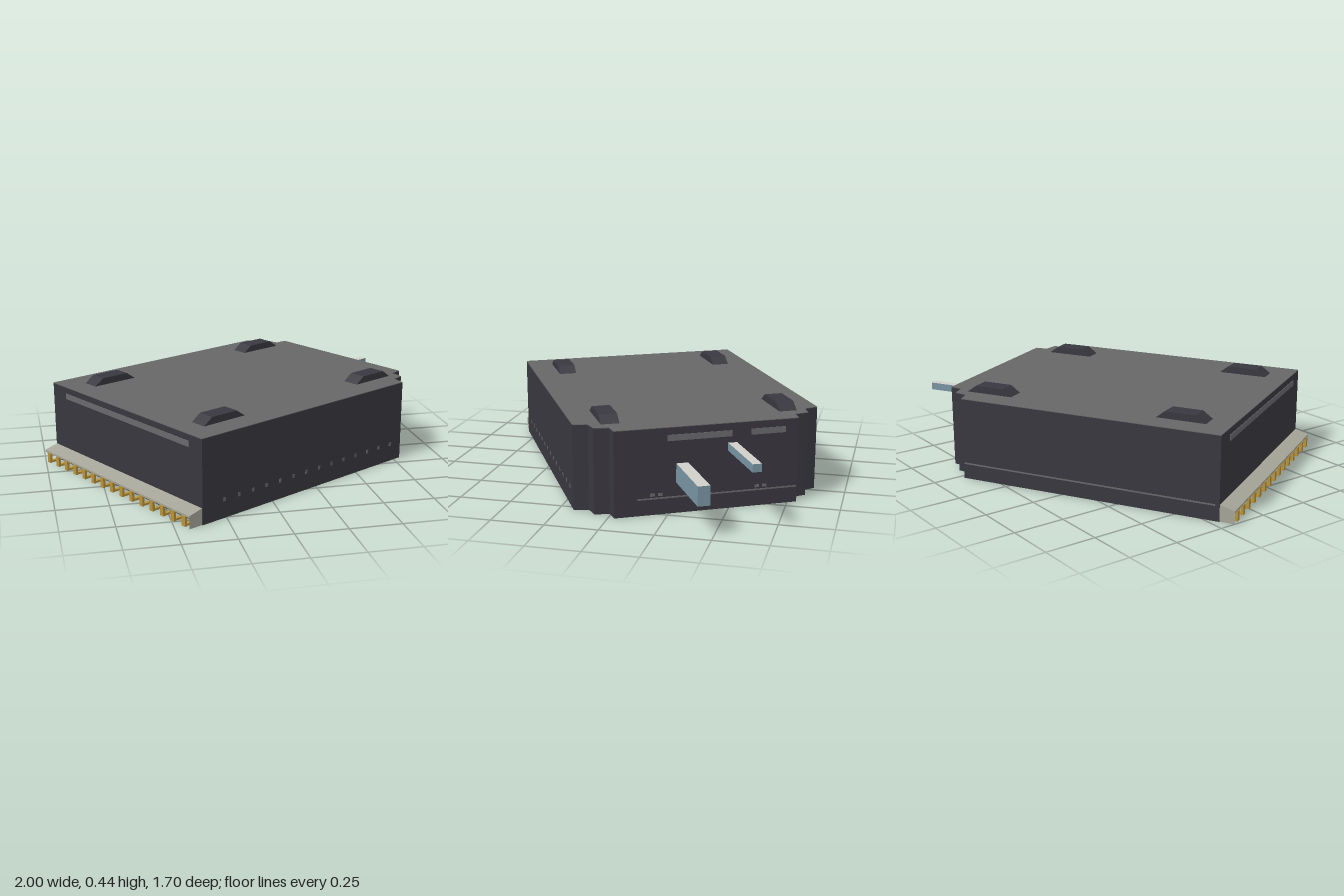
import * as THREE from 'three';

const mat = (name, color, extra = {}) => Object.assign(new THREE.MeshStandardMaterial({ color, ...extra }), { name });

export function createModel() {
  const dark = mat('charcoal casing', 0x39373f);
  const grey = mat('grey lid', 0x666667);
  const label = mat('label grey', 0x69696c);
  const beige = mat('beige ledge', 0xa6a598);
  const gold = mat('gold pins', 0xb8923a);
  const blue = mat('steel blue', 0x7894a2);
  const cream = mat('pale metal', 0xcfcec9);

  const model = new THREE.Group();
  model.name = 'module';
  const unit = new THREE.Group();
  unit.name = 'rotatedUnit';
  unit.rotation.y = 0.504;
  model.add(unit);

  const add = (name, geometry, material, parent = unit) => {
    const mesh = new THREE.Mesh(geometry, material);
    mesh.name = name;
    parent.add(mesh);
    return mesh;
  };
  // box given by its limits on each axis
  const box = (name, [x0, x1], [y0, y1], [z0, z1], material, parent) => {
    const mesh = add(name, new THREE.BoxGeometry(x1 - x0, y1 - y0, z1 - z0), material, parent);
    mesh.position.set((x0 + x1) / 2, (y0 + y1) / 2, (z0 + z1) / 2);
    return mesh;
  };
  const quad = (name, a, b, c, d, material, parent) => {
    const g = new THREE.BufferGeometry();
    g.setAttribute('position', new THREE.Float32BufferAttribute([a, b, c, a, c, d].flat(), 3));
    g.computeVertexNormals();
    return add(name, g, material, parent);
  };

  // casing outline with two stepped corners, mirrored about midZ
  const midZ = -0.05, left = -0.721, right = 0.759;
  const steps = [[0.605, 0.588], [0.62, 0.52], [0.685, 0.509], [0.697, 0.44], [right, 0.434]];
  const outline = [
    [left, -0.588],
    ...steps.map(([x, z]) => [x, -z]),
    ...[...steps].reverse(),
    [left, 0.588],
  ].map(([x, z]) => new THREE.Vector2(x, -(z + midZ)));
  const slab = (name, y, depth, material) => {
    const g = new THREE.ExtrudeGeometry(new THREE.Shape(outline), { depth, bevelEnabled: false });
    g.rotateX(-Math.PI / 2);
    add(name, g, material).position.y = y;
  };
  slab('casing', 0, 0.403, dark);
  slab('lid', 0.403, 0.003, grey);

  // four feet with sloped ends
  const footShape = new THREE.Shape([[-0.122, 0], [0.122, 0], [0.074, 0.034], [-0.074, 0.034]]
    .map(([x, y]) => new THREE.Vector2(x, y)));
  for (const x of [-0.484, 0.519]) for (const z of [-0.477, 0.372]) {
    const g = new THREE.ExtrudeGeometry(footShape, { depth: 0.086, bevelEnabled: false });
    add('foot', g, dark).position.set(x, 0.406, z - 0.043);
  }

  // two blade connectors: blue sides and tip, pale top and underside
  const bladeMats = [blue, blue, cream, cream, blue, blue];
  box('tallBlade', [right, 1.085], [0.145, 0.235], [0.042, 0.098], bladeMats);
  box('flatBlade', [right, 1.083], [0.275, 0.312], [-0.187, -0.145], bladeMats);

  // label strips
  box('endLabel', [left - 0.003, left], [0.345, 0.373], [-0.524, 0.448], label);
  box('wideLabel', [right, right + 0.003], [0.342, 0.37], [-0.163, 0.139], label);
  box('narrowLabel', [right, right + 0.003], [0.342, 0.37], [-0.42, -0.255], label);

  // seam line and small marks
  const front = midZ + 0.588, back = midZ - 0.588;
  box('seamEnd', [right, right + 0.002], [0.074, 0.081], [-0.48, 0.28], label);
  box('seamBack', [left + 0.02, 0.6], [0.074, 0.081], [back - 0.002, back], label);
  for (let i = 0; i < 14; i++) {
    const x = -0.6 + i * 0.086;
    box('frontMark', [x, x + 0.014], [0.082, 0.1], [front, front + 0.002], label);
  }
  for (const z of [0.19, -0.03, -0.305]) for (const dz of [-0.018, 0.018])
    box('endMark', [right, right + 0.002], [0.088, 0.102], [z + dz - 0.011, z + dz + 0.011], label);

  // hollow ledge along the left end, open underneath
  const ledge = new THREE.Group();
  ledge.name = 'pinLedge';
  unit.add(ledge);
  const xo = -0.793, z0 = -0.635, z1 = 0.533, yi = 0.08, yo = 0.062;
  quad('ledgeTop', [xo, yo, z0], [xo, yo, z1], [left, yi, z1], [left, yi, z0], beige, ledge);
  quad('ledgeLip', [xo, yo, z0], [xo, 0.052, z0], [xo, 0.052, z1], [xo, yo, z1], beige, ledge);
  quad('ledgeBackEnd', [xo, yo, z0], [left, yi, z0], [left, 0, z0], [xo, 0, z0], beige, ledge);
  quad('ledgeFrontEnd', [xo, 0, z1], [left, 0, z1], [left, yi, z1], [xo, yo, z1], beige, ledge);

  // row of bent pins with dividers between them
  const count = 15, pitch = (z1 - z0) / count;
  for (let i = 0; i < count; i++) {
    const z = z0 + (i + 0.5) * pitch;
    box('pin', [xo - 0.004, xo + 0.008], [0.004, 0.054], [z - 0.012, z + 0.012], gold, ledge);
    box('pinFoot', [xo + 0.008, left], [0.004, 0.014], [z - 0.009, z + 0.009], gold, ledge);
    const d = z - pitch / 2;
    if (i) quad('divider', [xo + 0.015, 0.02, d], [left, 0.02, d], [left, yi, d], [xo + 0.015, yo, d], beige, ledge);
  }
  return model;
}
